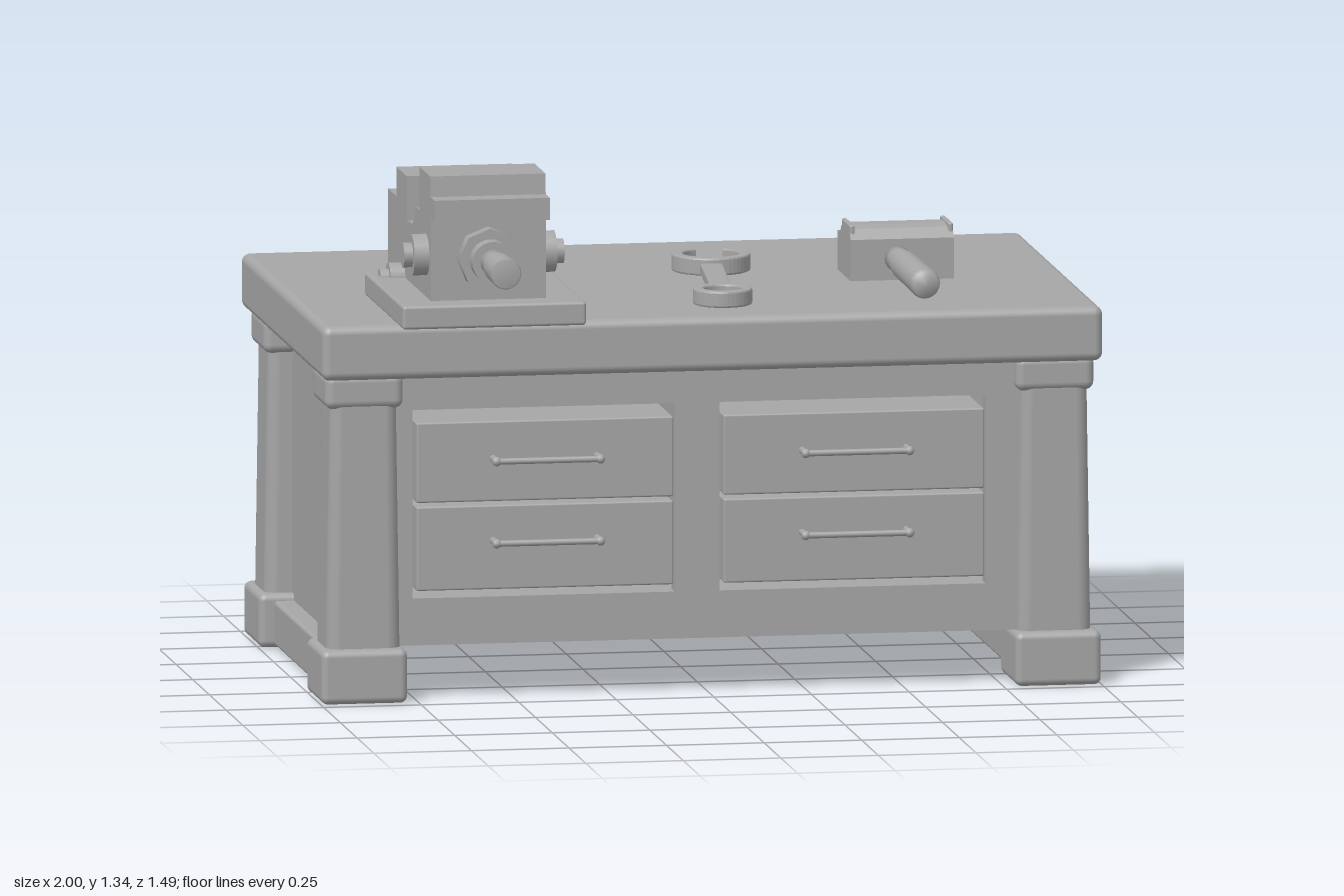
import * as THREE from 'three';
import { RoundedBoxGeometry } from 'three/addons/geometries/RoundedBoxGeometry.js';

const grey = new THREE.MeshStandardMaterial({ color: 0xa6a6a6 });
grey.name = 'workshop grey';

export function createModel() {
  const model = new THREE.Group();
  model.name = 'workbench';

  const add = (name, geometry, parent = model) => {
    const mesh = new THREE.Mesh(geometry, grey);
    mesh.name = name;
    parent.add(mesh);
    return mesh;
  };
  const group = (name) => {
    const g = new THREE.Group();
    g.name = name;
    model.add(g);
    return g;
  };
  // Box given by its extents, with optional rounded edges
  const box = (name, [x0, x1], [y0, y1], [z0, z1], r = 0, parent = model) => {
    const s = [x1 - x0, y1 - y0, z1 - z0];
    const geo = r ? new RoundedBoxGeometry(...s, 3, r) : new THREE.BoxGeometry(...s);
    geo.translate((x0 + x1) / 2, (y0 + y1) / 2, (z0 + z1) / 2);
    return add(name, geo, parent);
  };
  // Cylinder along the x or z axis
  const rod = (name, axis, r, length, [x, y, z], parent, sides = 20) => {
    const geo = new THREE.CylinderGeometry(r, r, length, sides);
    if (axis === 'x') geo.rotateZ(-Math.PI / 2);
    if (axis === 'z') geo.rotateX(Math.PI / 2);
    geo.translate(x, y, z);
    return add(name, geo, parent);
  };
  const rect = (shape, x0, x1, y0, y1) =>
    shape.moveTo(x0, y0).lineTo(x1, y0).lineTo(x1, y1).lineTo(x0, y1).closePath();

  // Table top
  box('tableTop', [-1, 1], [0.835, 0.975], [-0.745, 0.49], 0.022);

  // Four legs, tapered in width, with feet and capitals
  for (const side of [-1, 1]) {
    for (const [z, capZ] of [[0.347, 0.34], [-0.582, -0.584]]) {
      const x = side * 0.885;
      const leg = new RoundedBoxGeometry(0.19, 0.7, 0.187, 3, 0.035);
      const p = leg.attributes.position;
      for (let i = 0; i < p.count; i++) p.setX(i, p.getX(i) * (0.95 - p.getY(i) * 0.16));
      leg.translate(x, 0.46, z);
      add('leg', leg);
      const footX = side * 0.889;
      const footZ = z + (z > 0 ? 0.005 : -0.007);
      box('foot', [footX - 0.11, footX + 0.11], [0.005, 0.143], [footZ - 0.12, footZ + 0.12], 0.018);
      box('capital', [x - 0.1, x + 0.1], [0.755, 0.845], [capZ - 0.106, capZ + 0.106], 0.022);
    }
    // Rail between the feet and side panel set between the legs
    const c = side * 0.885;
    box('footRail', [c - 0.075, c + 0.075], [0.01, 0.125], [-0.5, 0.27], 0.01);
    const s = side * 0.89;
    box('sidePanel', [s - 0.02, s + 0.02], [0.11, 0.84], [-0.6, 0.36]);
  }

  // Cabinet floor, then front and back frames with two openings
  box('cabinetFloor', [-0.89, 0.89], [0.143, 0.17], [-0.62, 0.38]);
  const openings = [[-0.757, -0.085], [0.03, 0.712]];
  for (const [name, z] of [['frontFrame', 0.36], ['backFrame', -0.645]]) {
    const frame = new THREE.Shape();
    rect(frame, -0.84, 0.84, 0.143, 0.84);
    for (const [a, b] of openings) {
      const hole = new THREE.Path();
      rect(hole, a, b, 0.263, 0.745);
      frame.holes.push(hole);
    }
    const geo = new THREE.ExtrudeGeometry(frame, { depth: 0.05, bevelEnabled: false });
    add(name, geo.translate(0, 0, z));
  }

  // Drawers nearly flush with the frames, bar handles in front, bolt ends behind
  for (const [a, b] of openings) {
    const mid = (a + b) / 2 + 0.005;
    for (const [y0, y1, hy] of [[0.28, 0.495, 0.405], [0.505, 0.71, 0.615]]) {
      box('drawer', [a + 0.012, b - 0.002], [y0, y1], [-0.638, 0.402], 0.005);
      const handle = group('drawerHandle');
      rod('handleBar', 'x', 0.008, 0.27, [mid, hy, 0.457], handle, 10);
      for (const s of [-1, 1]) {
        const x = mid + s * 0.133;
        rod('handlePost', 'z', 0.009, 0.065, [x, hy, 0.43], handle, 10);
        add('handleEnd', new THREE.SphereGeometry(0.012, 12, 8).translate(x, hy, 0.457), handle);
        add('handleBolt', new THREE.SphereGeometry(0.014, 12, 8).translate(x, hy, -0.639), handle);
      }
    }
  }

  // Bench vise: base plate and a body extruded across x from its side profile
  const vise = group('vise');
  box('viseBase', [-0.805, -0.335], [0.972, 1.032], [-0.025, 0.547], 0.008, vise);
  const outline = [[0.468, 1.03], [0.468, 1.24], [0.525, 1.24], [0.525, 1.297], [0.465, 1.297],
    [0.46, 1.349], [0.296, 1.349], [0.302, 1.24], [0.248, 1.237], [0.23, 1.215], [0.196, 1.187],
    [0.108, 1.182], [0.108, 1.295], [-0.048, 1.295], [-0.048, 1.22], [-0.172, 1.22], [-0.172, 1.03]];
  // Shape x runs along -z, so the extrusion turns to run along x
  const profile = new THREE.Shape(outline.map(([z, y]) => new THREE.Vector2(-z, y)));
  const body = new THREE.ExtrudeGeometry(profile, { depth: 0.295, bevelEnabled: false });
  add('viseBody', body.rotateY(Math.PI / 2).translate(-0.72, 0, 0), vise);

  // Vise screw: flange, hex nut, neck and grip
  const vx = -0.575, vy = 1.14;
  rod('screwFlange', 'z', 0.08, 0.04, [vx, vy, 0.492], vise, 8);
  rod('screwNut', 'z', 0.053, 0.045, [vx, vy, 0.533], vise, 24);
  const grip = [[0, 0], [0.033, 0], [0.031, 0.06], [0.038, 0.09], [0.04, 0.2], [0.036, 0.207], [0, 0.207]];
  const gripGeo = new THREE.LatheGeometry(grip.map(([r, h]) => new THREE.Vector2(r, h)), 20);
  add('screwGrip', gripGeo.rotateX(Math.PI / 2).translate(vx, vy, 0.541), vise);

  // Side bolts of the vise
  for (const s of [-1, 1]) {
    for (const [y, z, r] of [[1.14, 0.395, 0.053], [1.028, 0.05, 0.038]]) {
      rod('boltWasher', 'x', r, 0.04, [vx + s * 0.163, y, z], vise);
      rod('boltHead', 'x', r * 0.6, 0.035, [vx + s * 0.188, y, z], vise, 12);
    }
  }

  // Wrench lying on the bench, drawn in plan with z as the second axis
  const wrench = group('wrench');
  const flat = (name, shape, y0, h) => {
    const geo = new THREE.ExtrudeGeometry(shape, {
      depth: h - 0.01, bevelThickness: 0.005, bevelSize: 0.005, bevelSegments: 2, curveSegments: 20 });
    add(name, geo.rotateX(Math.PI / 2).translate(0, y0 + h - 0.005, 0), wrench);
  };
  const ring = new THREE.Shape().absarc(0.057, 0.298, 0.07, 0, Math.PI * 2);
  ring.holes.push(new THREE.Path().absarc(0.057, 0.298, 0.053, 0, Math.PI * 2));
  flat('wrenchRing', ring, 0.978, 0.042);
  const jaw = new THREE.Shape();
  const gap = -Math.PI / 2 + 0.1;
  jaw.absarc(0.12, -0.245, 0.095, gap + 0.5, gap + Math.PI * 2 - 0.5);
  jaw.absarc(0.12, -0.245, 0.076, gap + Math.PI * 2 - 0.55, gap + 0.55, true);
  flat('wrenchJaw', jaw, 0.978, 0.045);
  const shank = new THREE.Shape([[0.083, -0.165], [0.13, -0.16], [0.088, 0.237], [0.044, 0.232]]
    .map(([x, z]) => new THREE.Vector2(x, z)));
  flat('wrenchShank', shank, 0.98, 0.03);

  // Hammer: head extruded across x, ridged ends, handle and two curved claws
  const hammer = group('hammer');
  const headOutline = [[-0.024, 0.975], [-0.024, 1.08], [-0.045, 1.105], [-0.08, 1.11],
    [-0.13, 1.11], [-0.165, 1.095], [-0.178, 1.08], [-0.22, 1.075], [-0.22, 0.975]];
  const headShape = new THREE.Shape(headOutline.map(([z, y]) => new THREE.Vector2(-z, y)));
  const head = new THREE.ExtrudeGeometry(headShape, { depth: 0.265, bevelEnabled: false });
  add('hammerHead', head.rotateY(Math.PI / 2).translate(0.44, 0, 0), hammer);
  for (const x of [0.44, 0.692]) {
    box('headRidge', [x, x + 0.013], [1.06, 1.116], [-0.16, -0.035], 0.005, hammer);
  }
  const handle = [[0, 0], [0.033, 0], [0.031, 0.04], [0.037, 0.12], [0.039, 0.41], [0.033, 0.432], [0, 0.434]];
  const handleGeo = new THREE.LatheGeometry(handle.map(([r, h]) => new THREE.Vector2(r, h)), 20);
  add('hammerHandle', handleGeo.rotateX(Math.PI / 2).translate(0.56, 1.03, -0.025), hammer);
  for (const x of [0.515, 0.65]) {
    const curve = new THREE.CatmullRomCurve3([[1.035, -0.2], [1.035, -0.24], [1.043, -0.263], [1.06, -0.275]]
      .map(([y, z]) => new THREE.Vector3(x, y, z)));
    add('hammerClaw', new THREE.TubeGeometry(curve, 12, 0.02, 12), hammer);
    add('clawTip', new THREE.SphereGeometry(0.02, 12, 8).translate(x, 1.058, -0.274), hammer);
  }

  return model;
}
